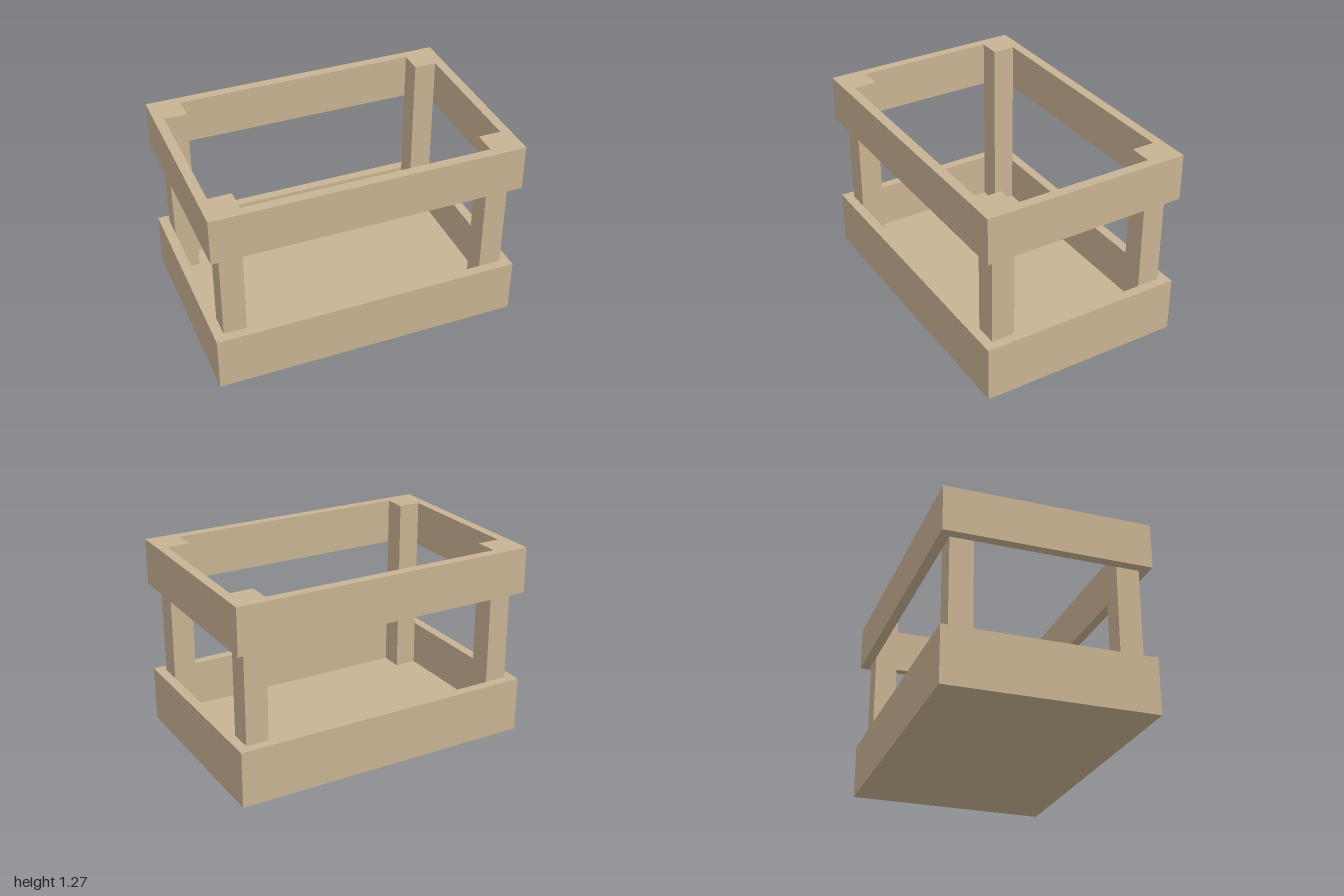
import * as THREE from 'three';

const W = 2, D = 1.334, H = 1.27; // overall size
const WALL = 0.063;               // board thickness
const FLOOR = 0.06;
const POST_X = 0.147, POST_Z = 0.15;

const wood = new THREE.MeshStandardMaterial({ color: 0xc8b292 });

// Closed rectangular ring of boards standing between two heights
function makeFrame(name, bottom, top) {
  const rect = (Type, w, d) => new Type([
    new THREE.Vector2(-w / 2, -d / 2), new THREE.Vector2(w / 2, -d / 2),
    new THREE.Vector2(w / 2, d / 2), new THREE.Vector2(-w / 2, d / 2),
  ]);
  const shape = rect(THREE.Shape, W, D);
  shape.holes.push(rect(THREE.Path, W - 2 * WALL, D - 2 * WALL));
  const geometry = new THREE.ExtrudeGeometry(shape, { depth: top - bottom, bevelEnabled: false });
  geometry.rotateX(-Math.PI / 2);
  const mesh = new THREE.Mesh(geometry, wood);
  mesh.name = name;
  mesh.position.y = bottom;
  return mesh;
}

function makeBox(name, w, h, d, x, y, z) {
  const mesh = new THREE.Mesh(new THREE.BoxGeometry(w, h, d), wood);
  mesh.name = name;
  mesh.position.set(x, y, z);
  return mesh;
}

export function createModel() {
  const model = new THREE.Group();
  model.name = 'openCrate';

  // Lower tray walls and upper rail
  model.add(makeFrame('lowerWalls', 0, 0.365));
  model.add(makeFrame('upperRail', 0.97, H));

  // Floor panel set inside the lower walls
  model.add(makeBox('floor', W - 2 * WALL, FLOOR, D - 2 * WALL, 0, FLOOR / 2, 0));

  // Corner posts from the floor to the rim, tucked into the inner corners
  for (const [sx, side] of [[1, 'Left'], [-1, 'Right']]) {
    for (const [sz, end] of [[1, 'front'], [-1, 'back']]) {
      model.add(makeBox(`${end}${side}Post`, POST_X, H - FLOOR, POST_Z,
        sx * (W / 2 - WALL - POST_X / 2), (H + FLOOR) / 2, sz * (D / 2 - WALL - POST_Z / 2)));
    }
  }
  return model;
}
